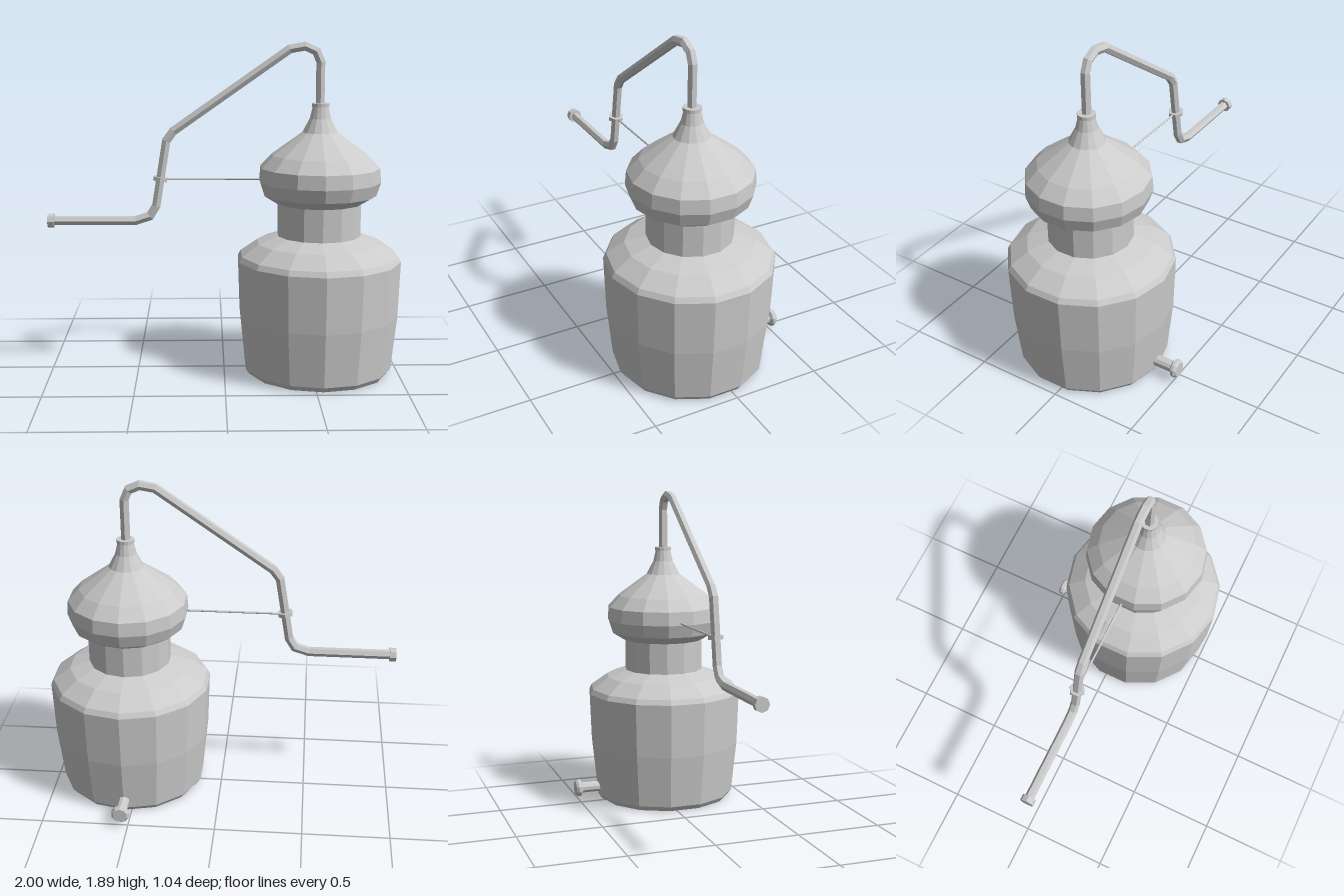
import * as THREE from 'three';

const AXIS_X = 0.54, AXIS_Z = 0.05;

export function createModel() {
  const group = new THREE.Group();
  const metal = new THREE.MeshStandardMaterial({ color: 0xcccccc, flatShading: true });

  function add(name, geometry, x = 0, y = 0, z = 0) {
    const mesh = new THREE.Mesh(geometry, metal);
    mesh.name = name;
    mesh.position.set(x, y, z);
    group.add(mesh);
    return mesh;
  }

  const lathe = (profile, sides) =>
    new THREE.LatheGeometry(profile.map(([r, y]) => new THREE.Vector2(r, y)), sides);

  // Sweeps a polygon along a path in the xy plane, with mitred corners
  function sweep(path, radius, sides) {
    const pts = path.map(([x, y]) => new THREE.Vector2(x, y));
    const positions = [], index = [];
    pts.forEach((p, i) => {
      const before = p.clone().sub(pts[Math.max(i - 1, 0)]).normalize();
      const after = pts[Math.min(i + 1, pts.length - 1)].clone().sub(p).normalize();
      const t = before.clone().add(after).normalize();
      const miter = 1 / t.dot(i ? before : after);
      for (let j = 0; j < sides; j++) {
        const a = ((j + 0.5) / sides) * Math.PI * 2;
        const side = Math.cos(a) * radius * miter;
        positions.push(p.x - t.y * side, p.y + t.x * side, Math.sin(a) * radius);
        if (i < pts.length - 1) {
          const k = (j + 1) % sides, r0 = i * sides, r1 = r0 + sides;
          index.push(r0 + j, r0 + k, r1 + j, r0 + k, r1 + k, r1 + j);
        }
      }
    });
    const geometry = new THREE.BufferGeometry();
    geometry.setAttribute('position', new THREE.Float32BufferAttribute(positions, 3));
    geometry.setIndex(index);
    geometry.computeVertexNormals();
    return geometry;
  }

  // Boiler pot with its shoulder and neck
  add('pot', lathe([
    [0, 0], [0.405, 0], [0.427, 0.03], [0.459, 0.34], [0.47, 0.66],
    [0.453, 0.69], [0.355, 0.76], [0.238, 0.8], [0.238, 0.99],
  ], 14), AXIS_X, 0, AXIS_Z);

  // Onion-shaped head
  add('onionHead', lathe([
    [0, 0.985], [0.235, 0.985], [0.25, 0.99], [0.322, 1.035], [0.347, 1.11], [0.34, 1.19],
    [0.275, 1.26], [0.1, 1.388], [0.06, 1.465], [0.042, 1.54], [0, 1.54],
  ], 14), AXIS_X, 0, AXIS_Z);
  add('headCollar', new THREE.CylinderGeometry(0.05, 0.05, 0.02, 14), AXIS_X, 1.54, AXIS_Z);

  // Swan-neck vapour pipe
  add('swanNeckPipe', sweep([
    [0.537, 1.53], [0.537, 1.78], [0.512, 1.838], [0.45, 1.866], [0.365, 1.851],
    [-0.285, 1.395], [-0.325, 1.34], [-0.385, 0.97], [-0.42, 0.912], [-0.5, 0.886], [-0.98, 0.886],
  ], 0.027, 6), 0, 0, AXIS_Z);
  add('pipeEndCap', new THREE.CylinderGeometry(0.041, 0.041, 0.036, 8), -0.982, 0.886, AXIS_Z)
    .rotation.z = Math.PI / 2;

  // Stay rod and its clamp on the pipe
  add('pipeClamp', new THREE.CylinderGeometry(0.045, 0.045, 0.022, 6), -0.36, 1.125, AXIS_Z)
    .rotation.z = -0.16;
  add('stayRod', new THREE.CylinderGeometry(0.006, 0.006, 0.58, 6), -0.07, 1.122, AXIS_Z)
    .rotation.z = Math.PI / 2;

  // Drain spout at the back, with a bevelled flange
  add('drainSpout', lathe([
    [0, 0], [0.033, 0], [0.033, 0.135], [0.053, 0.148], [0.053, 0.165], [0.042, 0.178], [0, 0.178],
  ], 10), AXIS_X, 0.08, -0.347).rotation.x = -Math.PI / 2;

  return group;
}
